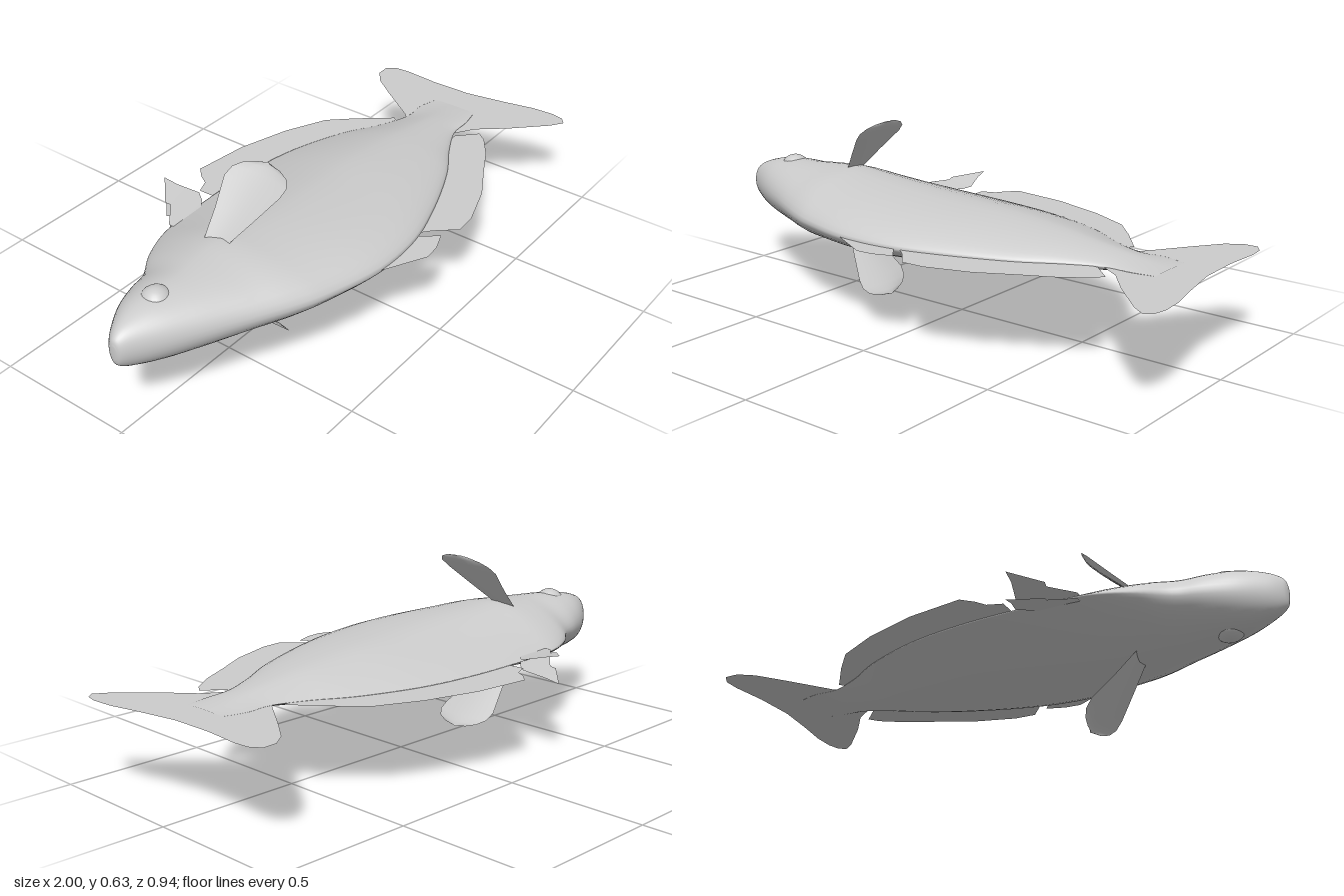
import * as THREE from 'three';

const MID = 0.325; // height of the fish's plane of symmetry (it lies on its side)
const mat = new THREE.MeshStandardMaterial({ color: 0xcccccc });
const thin = new THREE.MeshStandardMaterial({ color: 0xcccccc, side: THREE.DoubleSide });

// Body stations: x, back edge z, belly edge z, half thickness
const STATIONS = [
  [-1, -0.005, 0.015, 0.025], [-0.99, -0.025, 0.032, 0.05], [-0.95, -0.06, 0.06, 0.075],
  [-0.87, -0.112, 0.11, 0.098], [-0.78, -0.15, 0.16, 0.108], [-0.69, -0.178, 0.207, 0.112],
  [-0.6, -0.24, 0.255, 0.117], [-0.5, -0.285, 0.305, 0.122], [-0.4, -0.305, 0.343, 0.116],
  [-0.2, -0.315, 0.39, 0.104], [0, -0.31, 0.385, 0.092], [0.2, -0.28, 0.33, 0.08],
  [0.4, -0.21, 0.25, 0.06], [0.53, -0.135, 0.175, 0.043], [0.65, -0.088, 0.12, 0.026],
  [0.74, -0.09, 0.115, 0.012], [0.82, -0.07, 0.1, 0.002],
];

function mesh(name, geometry, material) {
  const m = new THREE.Mesh(geometry, material);
  m.name = name;
  return m;
}

// Loft of rounded cross-sections, keeled along the back behind the head
function bodyGeometry() {
  const spline = (f) => new THREE.CatmullRomCurve3(STATIONS.map(f), false, 'catmullrom', 0.5);
  const outline = spline((s) => new THREE.Vector3(s[0], s[1], s[2]));
  const girth = spline((s) => new THREE.Vector3(s[0], s[3], 0));
  const rows = 80, sides = 40, pos = [], index = [];
  for (let i = 0; i <= rows; i++) {
    const o = outline.getPoint(i / rows);
    const h = girth.getPoint(i / rows).y;
    const zc = THREE.MathUtils.lerp(o.y, o.z, 0.47);
    const keel = THREE.MathUtils.smoothstep(o.x, -0.95, -0.35);
    for (let j = 0; j < sides; j++) {
      const a = (j / sides) * Math.PI * 2;
      const c = Math.cos(a), k = Math.abs(c), round = Math.abs(Math.sin(a));
      const sharp = c > 0 ? Math.pow(1 - Math.min(1, k * k), 0.6) : 1 - Math.pow(k, 1.4);
      const y = h * THREE.MathUtils.lerp(round, sharp, keel) * Math.sign(Math.sin(a));
      pos.push(o.x, MID + y, zc + c * (c > 0 ? o.z - zc : zc - o.y));
      const n = (j + 1) % sides, r = i * sides, q = r + sides;
      if (i < rows) index.push(r + j, q + j, r + n, q + j, q + n, r + n);
    }
  }
  // Close the snout
  pos.push(-1, MID, 0.005);
  for (let j = 0; j < sides; j++) index.push(pos.length / 3 - 1, j, (j + 1) % sides);
  const g = new THREE.BufferGeometry();
  g.setAttribute('position', new THREE.Float32BufferAttribute(pos, 3));
  g.setIndex(index);
  g.computeVertexNormals();
  return g;
}

// Flat membrane from an (x, z) outline; lift(x, z) gives its height
function membrane(points, lift = () => MID) {
  const g = new THREE.ShapeGeometry(new THREE.Shape(points.map((p) => new THREE.Vector2(...p))));
  g.rotateX(Math.PI / 2);
  const p = g.attributes.position;
  for (let i = 0; i < p.count; i++) p.setY(i, lift(p.getX(i), p.getZ(i)));
  g.computeVertexNormals();
  return g;
}

// Cupped fan fin: strips between its front and rear edges, given as [out, zRear, zFront]
function pectoralGeometry(side) {
  const rows = [
    [0.085, -0.06, 0.015], [0.125, -0.07, 0.03], [0.18, -0.08, 0.07], [0.255, -0.102, 0.122],
    [0.28, -0.09, 0.13], [0.298, -0.06, 0.115], [0.31, -0.02, 0.08], [0.315, 0.01, 0.035],
  ];
  const cols = 8, pos = [], index = [];
  rows.forEach(([out, z0, z1], i) => {
    for (let j = 0; j <= cols; j++) {
      const t = j / cols;
      const cup = 0.014 * Math.sin(t * Math.PI) * Math.min(1, i / 3) * (i < 6 ? 1 : 0.5);
      pos.push(-0.5 + (out - 0.125) + cup, MID + side * out, z0 + (z1 - z0) * t);
      const a = i * (cols + 1) + j, b = a + cols + 1;
      if (i < rows.length - 1 && j < cols) index.push(a, b, a + 1, b, b + 1, a + 1);
    }
  });
  const g = new THREE.BufferGeometry();
  g.setAttribute('position', new THREE.Float32BufferAttribute(pos, 3));
  g.setIndex(index);
  g.computeVertexNormals();
  return g;
}

export function createModel() {
  const fish = new THREE.Group();
  fish.name = 'fish';
  fish.add(mesh('body', bodyGeometry(), mat));

  // Fins in the plane of symmetry
  fish.add(mesh('dorsalFin', membrane([
    [-0.2, -0.26], [-0.205, -0.37], [-0.155, -0.39], [-0.135, -0.425], [-0.1, -0.462], [0.1, -0.44],
    [0.29, -0.385], [0.44, -0.315], [0.52, -0.23], [0.61, -0.12], [0.6, -0.105], [0.5, -0.095],
    [0.4, -0.15], [0.2, -0.22], [0, -0.26],
  ]), thin));
  fish.add(mesh('pelvicFin', membrane([
    [-0.25, 0.33], [-0.2, 0.39], [-0.05, 0.468], [0.01, 0.462], [0.075, 0.437], [0.015, 0.365], [0, 0.33],
  ]), thin));
  fish.add(mesh('analFin', membrane([
    [0.03, 0.36], [0.08, 0.4], [0.14, 0.468], [0.22, 0.463], [0.37, 0.412], [0.5, 0.34],
    [0.6, 0.288], [0.68, 0.23], [0.705, 0.195], [0.635, 0.13], [0.5, 0.15], [0.3, 0.25], [0.1, 0.32],
  ]), thin));
  fish.add(mesh('tailFin', membrane([
    [0.62, -0.07], [0.655, -0.1], [0.75, -0.24], [0.815, -0.33], [0.865, -0.368], [0.915, -0.37],
    [0.94, -0.335], [0.944, -0.28], [0.934, -0.15], [0.937, 0], [0.965, 0.15], [0.99, 0.26],
    [0.995, 0.34], [0.985, 0.385], [0.96, 0.405], [0.915, 0.375], [0.8, 0.26], [0.72, 0.165],
    [0.65, 0.12], [0.62, 0.1],
  ]), thin));

  for (const side of [1, -1]) {
    const label = side > 0 ? 'upper' : 'lower';
    // Spiny front fin: two leaves opening in a V along the back
    fish.add(mesh(label + 'SpinyFinLeaf', membrane([
      [-0.43, -0.28], [-0.43, -0.305], [-0.355, -0.365], [-0.36, -0.385], [-0.27, -0.47],
      [-0.262, -0.42], [-0.235, -0.345], [-0.255, -0.315], [-0.3, -0.28],
    ], (x, z) => MID + side * (0.01 + 0.24 * Math.max(0, -z - 0.31))), thin));
    fish.add(mesh(label + 'PectoralFin', pectoralGeometry(side), thin));
    // Bulging eye
    const eye = mesh(label + 'Eye', new THREE.SphereGeometry(0.055, 24, 16), mat);
    eye.position.set(-0.805, MID + side * 0.066, -0.002);
    fish.add(eye);
  }
  return fish;
}
